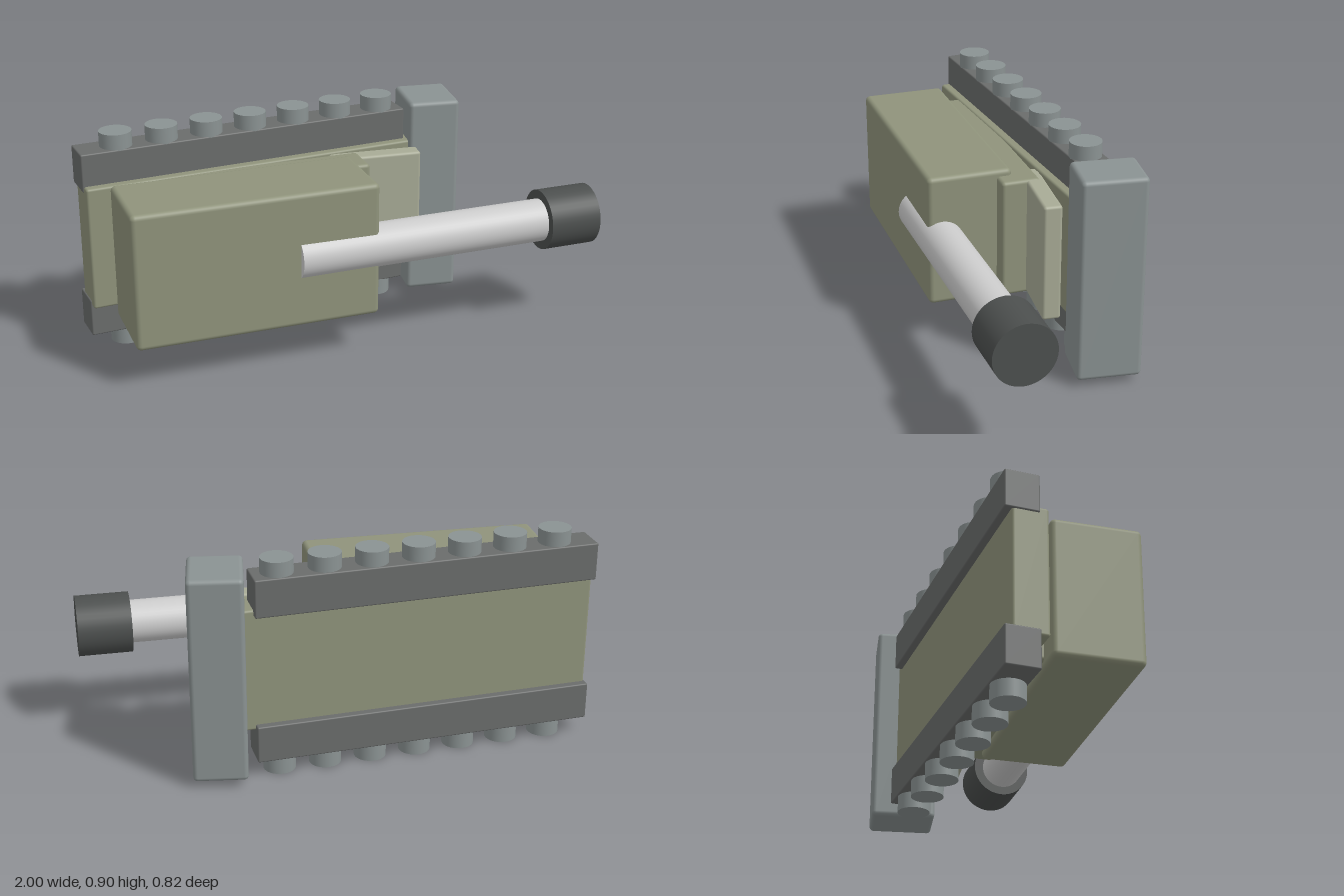
import * as THREE from 'three';
import { RoundedBoxGeometry } from 'three/addons/geometries/RoundedBoxGeometry.js';

const mat = (color) => new THREE.MeshStandardMaterial({ color });

export function createModel() {
  const model = new THREE.Group();
  const olive = mat(0x8f937b), paleOlive = mat(0xa8ab96), steel = mat(0x8a9292);
  const rubber = mat(0x6a6c6b), dark = mat(0x4c4f4e), grey = mat(0xcccccc);
  const midY = 0.453;

  const add = (name, geometry, material, x, y, z, yaw = 0) => {
    const mesh = new THREE.Mesh(geometry, material);
    mesh.name = name;
    mesh.position.set(x, y, z);
    mesh.rotation.y = yaw;
    model.add(mesh);
    return mesh;
  };
  const box = (name, size, material, x, y, z, yaw, r = 0.018) =>
    add(name, new RoundedBoxGeometry(...size, 3, r), material, x, y, z, yaw);
  const rod = (name, r, length, material, x, y, z, yaw) => {
    const geometry = new THREE.CylinderGeometry(r, r, length, 40).rotateZ(Math.PI / 2);
    return add(name, geometry, material, x, y, z, yaw);
  };

  // Hull slab lying between the two tracks
  box('hull', [1.44, 0.51, 0.14], olive, -0.275, midY, -0.25, 0, 0.01);

  // Tracks with a row of round wheel studs on the outer faces
  for (const side of [-1, 1]) {
    box('track', [1.39, 0.155, 0.135], rubber, -0.305, midY + side * 0.309, -0.2825, 0, 0.006);
    for (let i = 0; i < 7; i++) {
      add('wheelStud', new THREE.CylinderGeometry(0.065, 0.065, 0.12, 32), steel,
        -0.84 + i * 0.188, 0.45 + side * 0.39, -0.28);
    }
  }

  // Turned block at the end of the hull
  box('frontBlade', [0.215, 0.845, 0.26], steel, 0.522, midY, -0.264, -0.21);

  // Sloped plate and turret base
  box('slopedPlate', [0.38, 0.49, 0.075], paleOlive, 0.212, midY, -0.127, -0.165, 0.012);
  box('turretBase', [0.95, 0.5, 0.16], olive, -0.335, midY, -0.114, -0.075, 0.015);

  // Turret, gun barrel and muzzle
  box('turret', [0.985, 0.555, 0.35], olive, -0.435, midY, 0.07, -0.075, 0.02);
  rod('barrel', 0.088, 1.1, grey, 0.27, midY, 0.239, -0.065);
  rod('muzzle', 0.124, 0.218, dark, 0.883, midY, 0.277, -0.065);

  return model;
}
